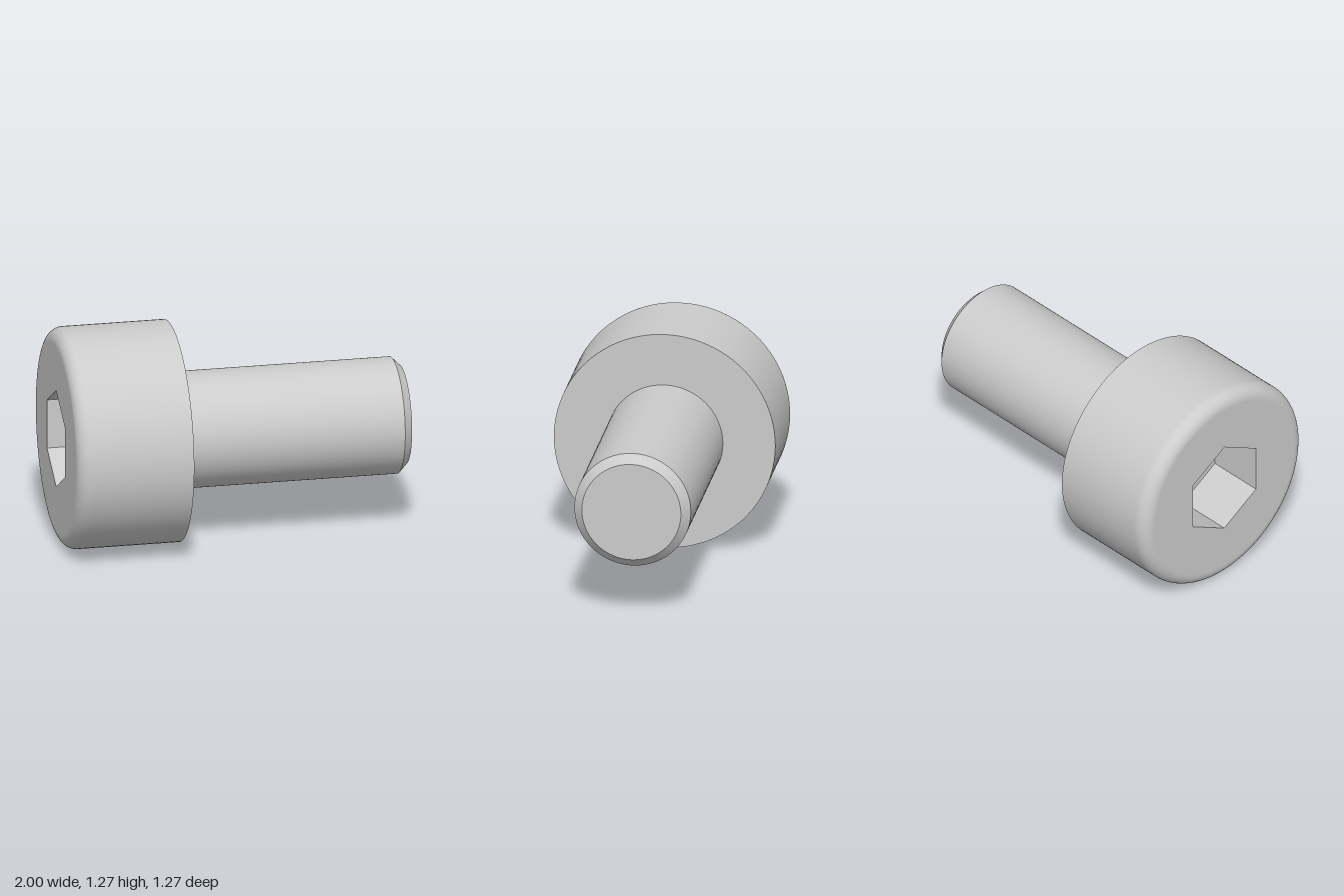
import * as THREE from 'three';
import { mergeGeometries } from 'three/addons/utils/BufferGeometryUtils.js';

const SEGMENTS = 96;
const HEAD_R = 0.633, SHAFT_R = 0.333, FILLET = 0.08, CHAMFER = 0.05;
const BACK = -1, SHOULDER = -0.333, TIP = 1;
const HEX_R = 0.289, HEX_DEPTH = 0.333;

const grey = new THREE.MeshStandardMaterial({ color: 0xcccccc });
const faceted = new THREE.MeshStandardMaterial({ color: 0xcccccc, flatShading: true });

// Revolves each [radius, height] profile separately, so edges between them stay sharp
function revolve(...profiles) {
  return mergeGeometries(profiles.map((profile) =>
    new THREE.LatheGeometry(profile.map(([r, y]) => new THREE.Vector2(r, y)), SEGMENTS)));
}

function part(name, geometry, material = grey) {
  const mesh = new THREE.Mesh(geometry, material);
  mesh.name = name;
  return mesh;
}

export function createModel() {
  const screw = new THREE.Group();
  screw.name = 'socketScrew';

  // Head: rounded back rim running into the side wall, then the flat shoulder
  const side = [];
  for (let i = 0; i <= 12; i++) {
    const a = (i / 12) * Math.PI / 2;
    side.push([HEAD_R - FILLET + FILLET * Math.sin(a), BACK + FILLET - FILLET * Math.cos(a)]);
  }
  side.push([HEAD_R, BACK + FILLET + 0.01], [HEAD_R, SHOULDER]);
  screw.add(part('head', revolve(side, [[HEAD_R, SHOULDER], [SHAFT_R, SHOULDER]])));

  // Back face of the head with the hexagonal opening
  const disc = new THREE.Shape().absarc(0, 0, HEAD_R - FILLET, 0, Math.PI * 2);
  const hexagon = [];
  for (let i = 0; i < 6; i++) {
    const a = -i * Math.PI / 3;
    hexagon.push(new THREE.Vector2(HEX_R * Math.cos(a), HEX_R * Math.sin(a)));
  }
  disc.holes.push(new THREE.Path(hexagon));
  const face = new THREE.ShapeGeometry(disc, SEGMENTS);
  face.rotateX(Math.PI / 2).translate(0, BACK, 0);
  screw.add(part('headFace', face));

  // Hex socket: floor and inward-facing walls
  const floor = BACK + HEX_DEPTH;
  const socket = new THREE.LatheGeometry([
    new THREE.Vector2(0, floor),
    new THREE.Vector2(HEX_R, floor),
    new THREE.Vector2(HEX_R, BACK),
  ], 6, Math.PI / 2);
  screw.add(part('hexSocket', socket, faceted));

  // Plain shaft with a chamfered tip
  const tipR = SHAFT_R - CHAMFER;
  screw.add(part('shaft', revolve(
    [[SHAFT_R, SHOULDER], [SHAFT_R, TIP - CHAMFER]],
    [[SHAFT_R, TIP - CHAMFER], [tipR, TIP]],
    [[tipR, TIP], [0, TIP]],
  )));

  // Lay the screw along x, resting on the head
  screw.rotation.z = -Math.PI / 2;
  screw.position.y = HEAD_R;

  const model = new THREE.Group();
  model.add(screw);
  return model;
}
